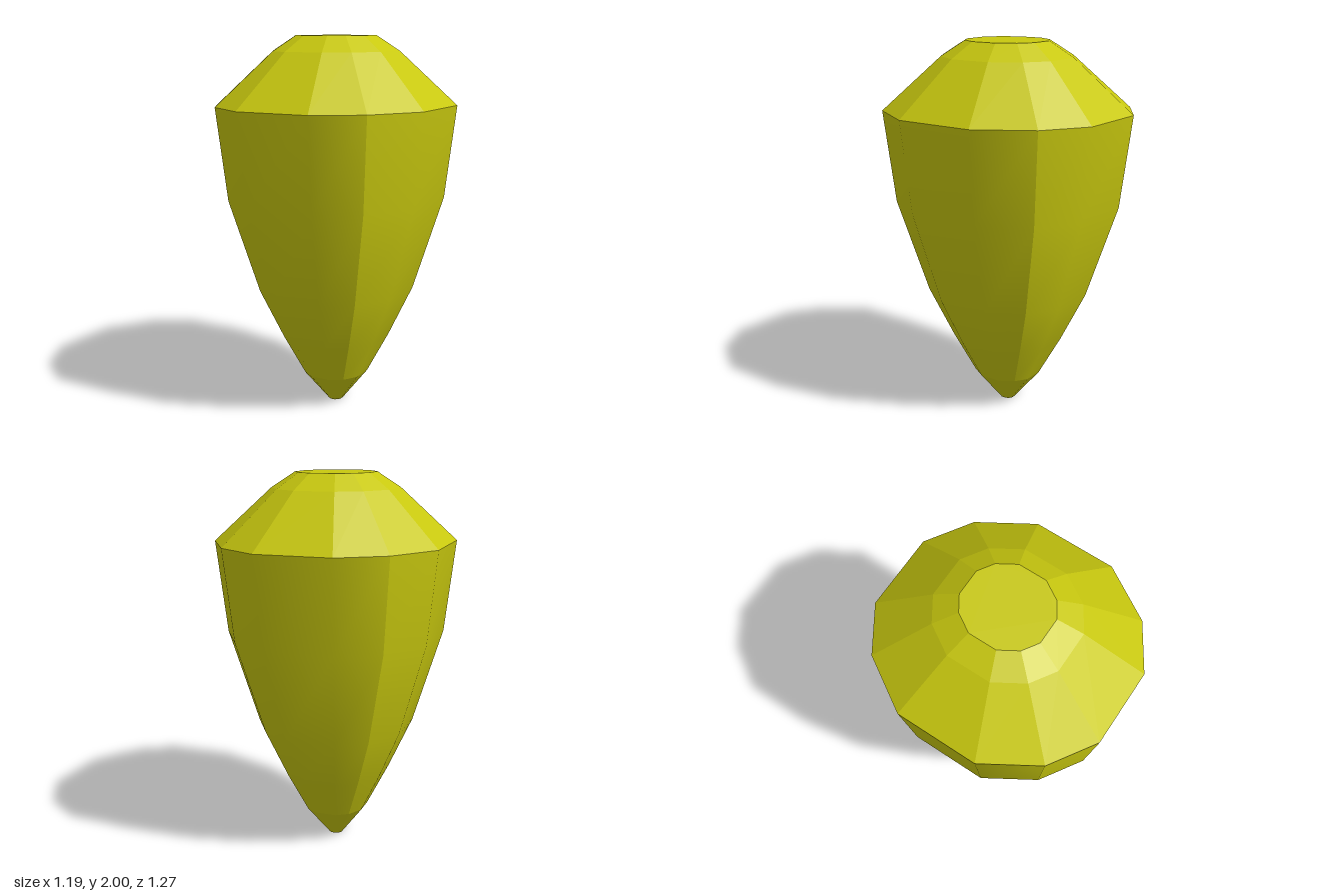
import * as THREE from 'three';

// One quarter of the twelve-sided girdle outline [x, z]; the rest is mirrored
const quarter = [[0.2, 0.635], [0.43, 0.487], [0.597, 0.215]];
const back = [...quarter].reverse();
const outline = [
  ...quarter,
  ...back.map(([x, z]) => [x, -z]),
  ...quarter.map(([x, z]) => [-x, -z]),
  ...back.map(([x, z]) => [-x, z]),
];
const GIRDLE = 0.597;

// Profiles as [half width, height], bottom to top
const tipProfile = [[0.037, 0], [0.165, 0.17]];
const bodyProfile = [[0.165, 0.17], [0.275, 0.39], [0.395, 0.66], [0.543, 1.16], [GIRDLE, 1.645]];
const crownProfile = [[GIRDLE, 1.645], [0.315, 1.92], [0.2, 2]];

// Skin scaled copies of the outline between corners start and start + count
function loft(profile, start, count) {
  const positions = [], index = [];
  for (const [r, y] of profile) {
    for (let i = 0; i <= count; i++) {
      const [x, z] = outline[(start + i) % outline.length];
      positions.push(x * r / GIRDLE, y, z * r / GIRDLE);
    }
  }
  const row = count + 1;
  for (let j = 0; j < profile.length - 1; j++) {
    for (let i = 0; i < count; i++) {
      const a = j * row + i, b = a + 1, c = a + row, d = c + 1;
      index.push(a, b, d, a, d, c);
    }
  }
  const geometry = new THREE.BufferGeometry();
  geometry.setAttribute('position', new THREE.Float32BufferAttribute(positions, 3));
  geometry.setIndex(index);
  geometry.computeVertexNormals();
  return geometry;
}

// Flat lid over the outline, facing up or down
function cap([r, y], up) {
  const s = r / GIRDLE;
  const shape = new THREE.Shape(outline.map(([x, z]) => new THREE.Vector2(x * s, z * s)));
  return new THREE.ShapeGeometry(shape).rotateX(up ? -Math.PI / 2 : Math.PI / 2).translate(0, y, 0);
}

export function createModel() {
  const group = new THREE.Group();
  group.name = 'gem';
  const smooth = new THREE.MeshStandardMaterial({ color: 0xc8c80f });
  const flat = new THREE.MeshStandardMaterial({ color: 0xc8c80f, flatShading: true });
  const add = (name, geometry, material) => {
    const mesh = new THREE.Mesh(geometry, material);
    mesh.name = name;
    group.add(mesh);
  };

  // Body: four smooth panels of three faces, creased where they meet
  ['leftPanel', 'backPanel', 'rightPanel', 'frontPanel'].forEach((name, i) => {
    add(name, loft(bodyProfile, 1 + i * 3, 3), smooth);
  });

  // Faceted crown and tip with their flat ends
  add('crown', loft(crownProfile, 0, 12), flat);
  add('table', cap(crownProfile[2], true), flat);
  add('tip', loft(tipProfile, 0, 12), flat);
  add('tipEnd', cap(tipProfile[0], false), flat);
  return group;
}
